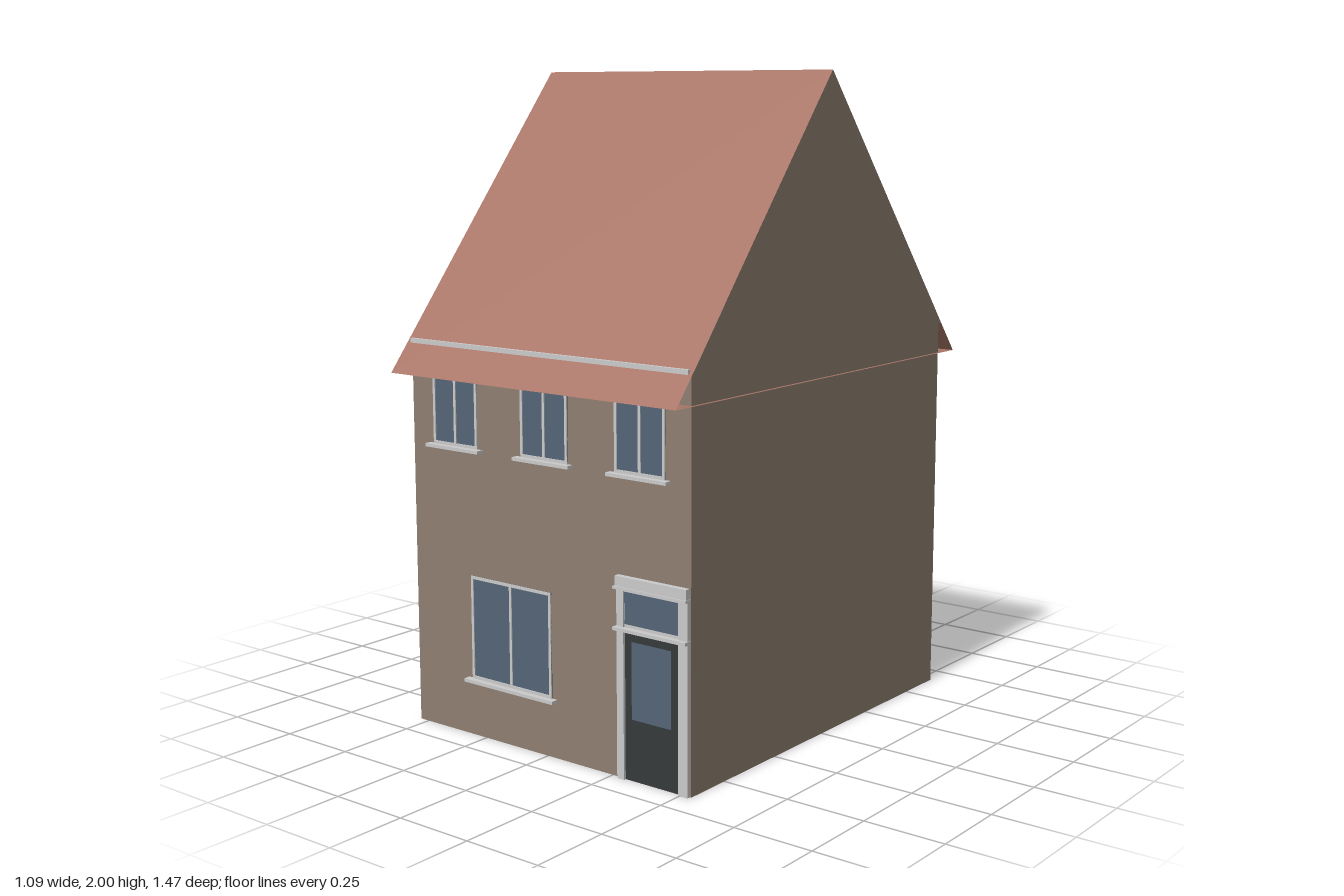
import * as THREE from 'three';

const W = 0.533, D = 0.655;            // wall half width and half depth
const RW = 0.543, RD = 0.735;          // roof half width and half depth
const EAVE = 1.104, PLATE = 1.2, RIDGE = 2;

const mat = (color, side = THREE.FrontSide) => new THREE.MeshStandardMaterial({ color, side });
const wallMat = mat(0x8f7f71);
const wallSheet = mat(0x8f7f71, THREE.DoubleSide);
const roofMat = mat(0xa87566, THREE.DoubleSide);
const trim = mat(0xcccccc);
const glass = mat(0x546476);
const doorMat = mat(0x363a3a);

function add(parent, name, geometry, material) {
  const mesh = new THREE.Mesh(geometry, material);
  mesh.name = name;
  parent.add(mesh);
  return mesh;
}

// Box given by its limits; z is measured outwards from the wall plane
function slab(parent, name, x0, x1, y0, y1, depth, material, z0 = -0.005) {
  const mesh = add(parent, name, new THREE.BoxGeometry(x1 - x0, y1 - y0, depth - z0), material);
  mesh.position.set((x0 + x1) / 2, (y0 + y1) / 2, (depth + z0) / 2);
  return mesh;
}

// Glazed opening with frame bars, mullions and a projecting sill
function makeWindow(parent, name, x0, x1, y0, y1, panes, sillDepth) {
  const g = new THREE.Group();
  g.name = name;
  const t = 0.009, d = 0.005;
  slab(g, 'glass', x0, x1, y0, y1, 0.002, glass);
  slab(g, 'frameTop', x0, x1, y1 - t, y1, d, trim);
  slab(g, 'frameBottom', x0, x1, y0, y0 + t, d, trim);
  for (let i = 0; i <= panes; i++) {
    const x = x0 + t / 2 + (x1 - x0 - t) * i / panes;
    slab(g, i % panes ? 'mullion' : 'frameSide', x - t / 2, x + t / 2, y0 + t, y1 - t, d, trim);
  }
  slab(g, 'sill', x0 - 0.018, x1 + 0.018, y0 - 0.01, y0, sillDepth, trim);
  parent.add(g);
}

function makeFront() {
  const front = new THREE.Group();
  front.name = 'frontFacade';
  front.position.z = D;
  for (const x of [-0.355, 0, 0.355]) makeWindow(front, 'upperWindow', x - 0.09, x + 0.09, 0.89, EAVE, 2, 0.023);
  makeWindow(front, 'lowerWindow', -0.3, 0.02, 0.18, 0.5, 2, 0.023);

  // Entrance with pilasters, transom light and lintel
  const door = new THREE.Group();
  door.name = 'frontEntrance';
  slab(door, 'leftPost', 0.495, 0.528, 0, 0.565, 0.011, trim);
  slab(door, 'rightPost', 0.275, 0.3, 0, 0.565, 0.011, trim);
  slab(door, 'doorLeaf', 0.3, 0.495, 0, 0.436, 0.003, doorMat);
  slab(door, 'doorGlass', 0.325, 0.466, 0.183, 0.41, 0.005, glass);
  slab(door, 'transomBar', 0.27, 0.53, 0.44, 0.45, 0.023, trim);
  slab(door, 'transomPanel', 0.3, 0.495, 0.436, 0.565, 0.006, trim);
  slab(door, 'transomGlass', 0.302, 0.493, 0.46, 0.553, 0.008, glass);
  slab(door, 'lintel', 0.275, 0.528, 0.568, 0.598, 0.018, trim);
  slab(door, 'lintelLedge', 0.27, 0.53, 0.56, 0.568, 0.022, trim);
  front.add(door);

  // Strip along the wall head, just breaking through the roof
  slab(front, 'eavesStrip', -0.53, 0.53, 1.168, 1.203, 0.01, trim);
  return front;
}

// Laid out facing the back, so x here is mirrored by the half turn
function makeBack() {
  const back = new THREE.Group();
  back.name = 'backFacade';
  back.position.z = -D;
  back.rotation.y = Math.PI;
  makeWindow(back, 'upperWindow', -0.39, -0.11, 0.89, EAVE, 2, 0.022);
  makeWindow(back, 'upperWindow', 0.155, 0.41, 0.89, EAVE, 2, 0.022);
  makeWindow(back, 'lowerWindow', -0.395, -0.005, 0.168, 0.46, 3, 0.022);

  const door = new THREE.Group();
  door.name = 'backDoor';
  slab(door, 'rightPost', 0.218, 0.24, 0, 0.46, 0.01, trim);
  slab(door, 'leftPost', 0.448, 0.47, 0, 0.46, 0.01, trim);
  slab(door, 'head', 0.24, 0.448, 0.438, 0.46, 0.01, trim);
  slab(door, 'doorLeaf', 0.24, 0.448, 0, 0.438, 0.003, doorMat);
  slab(door, 'doorGlass', 0.272, 0.408, 0.185, 0.4, 0.005, glass);
  back.add(door);
  return back;
}

function makeRoof() {
  const roof = new THREE.Group();
  roof.name = 'roof';
  const rise = RIDGE - EAVE, length = Math.hypot(rise, RD), angle = Math.atan2(rise, RD);
  for (const s of [1, -1]) {
    // Sloping sheet
    const half = new THREE.Group();
    half.name = s > 0 ? 'frontSlope' : 'backSlope';
    half.rotation.y = s > 0 ? 0 : Math.PI;
    const sheet = add(half, 'slope', new THREE.PlaneGeometry(2 * RW, length), roofMat);
    sheet.rotation.x = angle - Math.PI / 2;
    sheet.position.set(0, (RIDGE + EAVE) / 2, RD / 2);
    roof.add(half);

    // Gable triangle at the end wall
    const tri = new THREE.Shape([
      new THREE.Vector2(-D, PLATE), new THREE.Vector2(D, PLATE), new THREE.Vector2(0, RIDGE),
    ]);
    const gable = add(roof, s > 0 ? 'leftGable' : 'rightGable', new THREE.ShapeGeometry(tri), wallSheet);
    gable.rotation.y = s * Math.PI / 2;
    gable.position.x = s * RW;
  }
  // Flat sheet closing the eaves, and the narrow ledge below the gables
  const soffit = add(roof, 'soffit', new THREE.PlaneGeometry(2 * RW, 2 * RD), roofMat);
  soffit.rotation.x = -Math.PI / 2;
  soffit.position.y = EAVE;
  const ledge = add(roof, 'gableLedge', new THREE.PlaneGeometry(2 * RW, 2 * D), wallSheet);
  ledge.rotation.x = -Math.PI / 2;
  ledge.position.y = PLATE;
  return roof;
}

export function createModel() {
  const house = new THREE.Group();
  house.name = 'house';
  const walls = add(house, 'walls', new THREE.BoxGeometry(2 * W, PLATE - 0.001, 2 * D), wallMat);
  walls.position.y = (PLATE - 0.001) / 2;
  house.add(makeFront(), makeBack(), makeRoof());
  return house;
}
